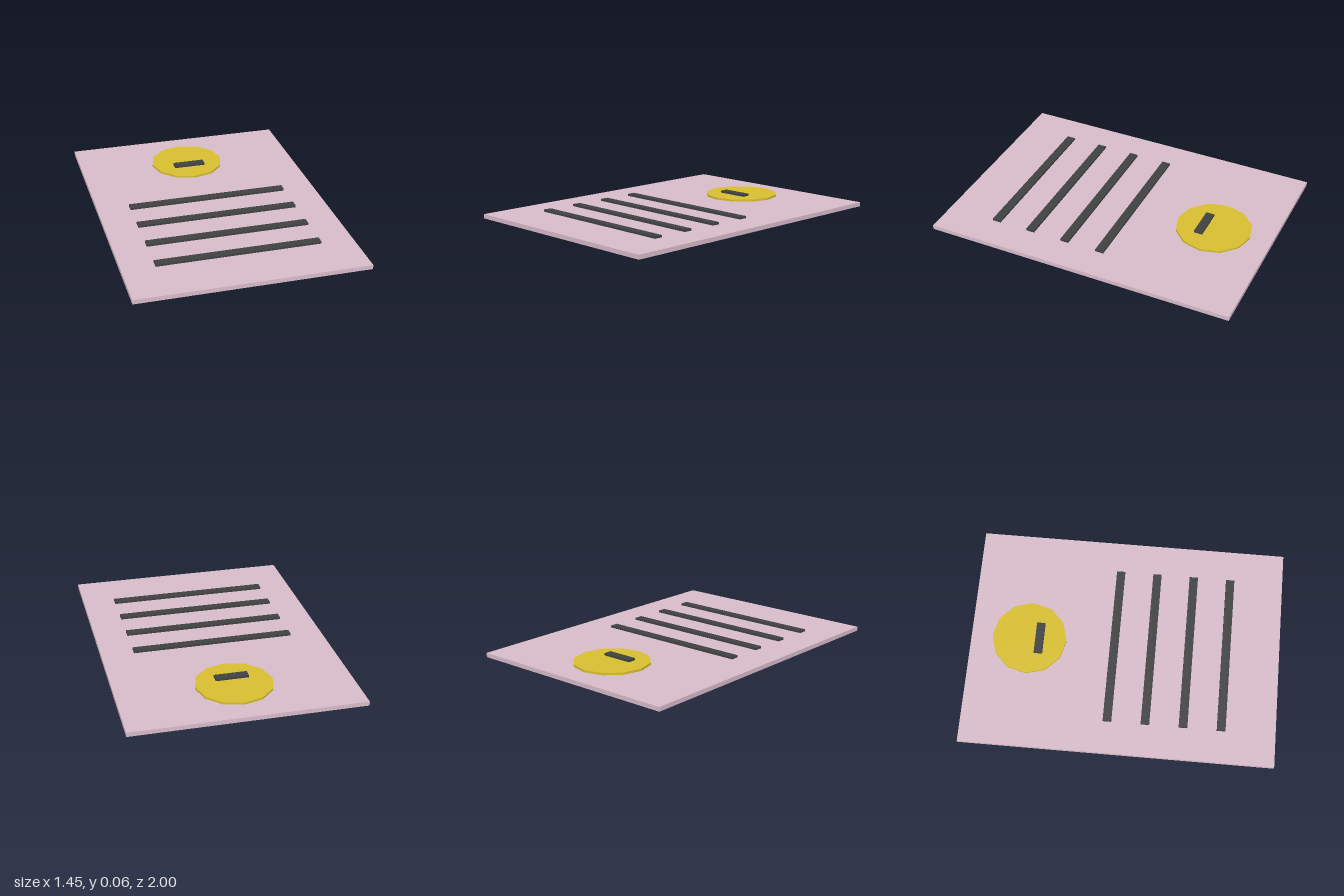
import * as THREE from 'three';

const PINK = 0xd8bcca, GOLD = 0xd8be30, DARK = 0x404241;

export function createModel() {
  const model = new THREE.Group();

  const add = (name, geometry, color, y, z) => {
    const material = new THREE.MeshStandardMaterial({ color, flatShading: true });
    const mesh = new THREE.Mesh(geometry, material);
    mesh.name = name;
    mesh.position.set(0, y, z);
    model.add(mesh);
  };

  const sheetHeight = 0.0276;
  const layer = 0.0138; // thickness of each raised detail
  const barDepth = 0.055;

  // Flat sheet
  add('sheet', new THREE.BoxGeometry(1.448, sheetHeight, 2), PINK, sheetHeight / 2, 0);

  // Twelve-sided seal with a short bar on top
  add('seal', new THREE.CylinderGeometry(0.2414, 0.2414, layer, 12), GOLD, sheetHeight + layer / 2, -0.621);
  add('sealBar', new THREE.BoxGeometry(0.207, layer, barDepth), DARK, sheetHeight + layer * 1.5, -0.555);

  // Four raised lines across the sheet
  for (let i = 0; i < 4; i++) {
    add(`line${i + 1}`, new THREE.BoxGeometry(1.034, layer, barDepth), DARK,
      sheetHeight + layer / 2, -0.069 + i * 0.2414);
  }

  return model;
}
